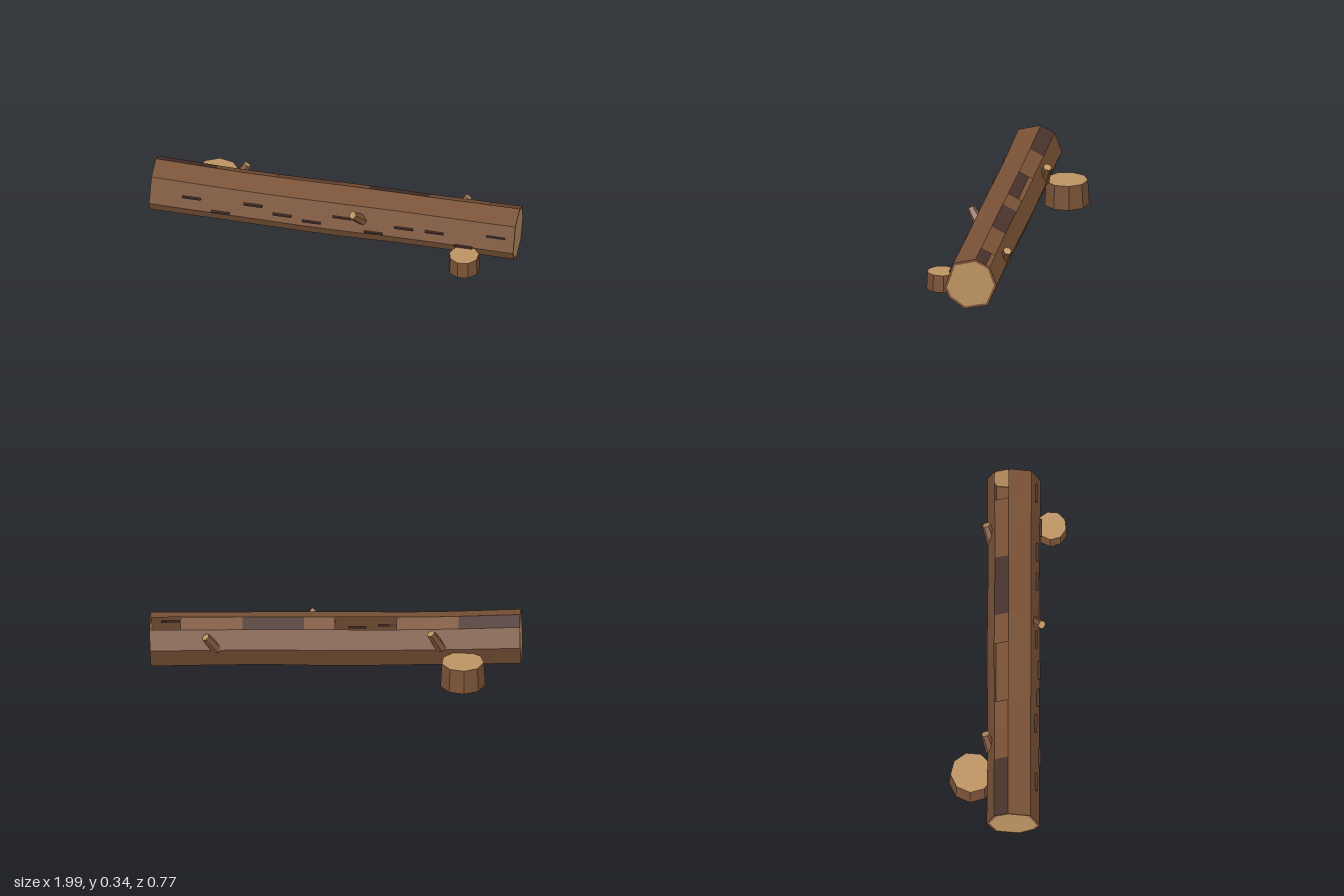
import * as THREE from 'three';

const material = (name, color, side = THREE.FrontSide) => {
  const m = new THREE.MeshStandardMaterial({ color, side });
  m.name = name;
  return m;
};

// Faceted normals for any geometry
const faceted = (geometry) => {
  const g = geometry.index ? geometry.toNonIndexed() : geometry;
  g.computeVertexNormals();
  return g;
};

const triangles = (points) => faceted(new THREE.BufferGeometry().setFromPoints(points));

export function createModel() {
  const model = new THREE.Group();
  const bark = material('bark brown', 0x7a5236, THREE.DoubleSide);
  const wood = material('cut wood', 0xbd9362, THREE.DoubleSide);
  const dark = material('dark bark', 0x4a332d, THREE.DoubleSide);

  const add = (name, geometry, mat, parent = model) => {
    const mesh = new THREE.Mesh(geometry, mat);
    mesh.name = name;
    parent.add(mesh);
    return mesh;
  };

  // Log axis and the two directions across it
  const start = new THREE.Vector3(-0.985, 0.2, -0.077);
  const end = new THREE.Vector3(0.98, 0.146, 0.125);
  const axis = end.clone().sub(start).normalize();
  const side = new THREE.Vector3().crossVectors(axis, new THREE.Vector3(0, 1, 0)).normalize();
  const up = new THREE.Vector3().crossVectors(side, axis);

  // Uneven eight-sided section: [across, up]
  const section = [[0.143, -0.03], [0.095, 0.113], [-0.027, 0.144], [-0.102, 0.106],
    [-0.14, 0], [-0.092, -0.115], [0.035, -0.143], [0.116, -0.088]];
  // Keep the broad front face and the lower front strip distinct
  section[7] = [0.119, -0.085];
  const SEGMENTS = 12;
  const ring = (i, scale = 1) => {
    const t = i / SEGMENTS;
    const centre = start.clone().lerp(end, t);
    centre.y -= 0.008 * Math.sin(Math.PI * Math.min(1, t * 1.5));
    const swell = scale * (1 - 0.025 * Math.sin(2 * Math.PI * t) ** 2);
    return section.map(([a, b]) => centre.clone().addScaledVector(side, a * swell).addScaledVector(up, b * swell));
  };

  // Hollow trunk: one facet row has two openings and two dark patches
  const brownFaces = [], darkFaces = [];
  const N = section.length;
  for (let i = 0; i < SEGMENTS; i++) {
    const p = ring(i), q = ring(i + 1);
    for (let j = 0; j < N; j++) {
      const k = (j + 1) % N;
      if (j === 2 && [4, 5, 11].includes(i)) continue;
      const isDark = j === 6 || (j === 2 && [0, 1, 7, 8].includes(i));
      (isDark ? darkFaces : brownFaces).push(p[j], q[j], q[k], p[j], q[k], p[k]);
    }
  }

  // Bark rims and pale cut faces at both ends
  for (const [i, name] of [[0, 'rightCutEnd'], [SEGMENTS, 'leftCutEnd']]) {
    const outer = ring(i), inner = ring(i, 0.9), cut = [];
    const centre = inner.reduce((s, v) => s.add(v), new THREE.Vector3()).divideScalar(N);
    for (let j = 0; j < N; j++) {
      const k = (j + 1) % N;
      const [a, b] = i === 0 ? [j, k] : [k, j];
      brownFaces.push(outer[a], outer[b], inner[b], outer[a], inner[b], inner[a]);
      cut.push(centre, inner[a], inner[b]);
    }
    add(name, triangles(cut), wood);
  }
  add('trunkBark', triangles(brownFaces), bark);
  add('darkBarkPatches', triangles(darkFaces), dark);

  // Short cracks along the front: [x, y]
  const cracks = new THREE.Group();
  cracks.name = 'barkCracks';
  model.add(cracks);
  const marks = [[-0.76, 0.225], [-0.6, 0.163], [-0.43, 0.222], [-0.27, 0.186], [-0.11, 0.167], [0.05, 0.207],
    [0.225, 0.146], [0.385, 0.186], [0.55, 0.182], [0.71, 0.125], [0.88, 0.192]];
  for (const [x, y] of marks) {
    const centre = start.clone().lerp(end, (x - start.x) / (end.x - start.x));
    const height = y - centre.y;
    const reach = 0.143 - 0.048 * Math.max(0, (height + 0.03) / 0.143);
    const crack = add('crack', new THREE.BoxGeometry(0.1, 0.009, 0.016), dark, cracks);
    crack.position.copy(centre).addScaledVector(side, reach).addScaledVector(up, height);
    crack.quaternion.setFromRotationMatrix(new THREE.Matrix4().makeBasis(axis, up, side));
  }

  // Broken branches: base, tip
  const branches = [
    [[0.155, 0.19, 0.14], [0.1, 0.258, 0.188]],
    [[-0.555, 0.18, -0.15], [-0.495, 0.283, -0.175]],
    [[0.635, 0.15, -0.025], [0.7, 0.238, -0.05]],
  ];
  for (const [b, t] of branches) {
    const base = new THREE.Vector3(...b), tip = new THREE.Vector3(...t);
    const dir = tip.clone().sub(base);
    const stub = add('branchStub', faceted(new THREE.CylinderGeometry(0.023, 0.031, dir.length(), 6)), [bark, wood, dark]);
    stub.position.copy(base).lerp(tip, 0.5);
    stub.quaternion.setFromUnitVectors(new THREE.Vector3(0, 1, 0), dir.normalize());
  }

  // Stumps: name, x, z, top radius, base radius, top height
  for (const [name, x, z, r1, r2, top] of [
    ['largeStump', -0.66, -0.265, 0.114, 0.122, 0.157],
    ['smallStump', 0.705, 0.3, 0.08, 0.085, 0.117],
  ]) {
    const stump = add(name, faceted(new THREE.CylinderGeometry(r1, r2, top - 0.023, 9)), [bark, wood, dark]);
    stump.position.set(x, (top + 0.023) / 2, z);
    stump.rotation.y = Math.PI;
  }
  return model;
}
